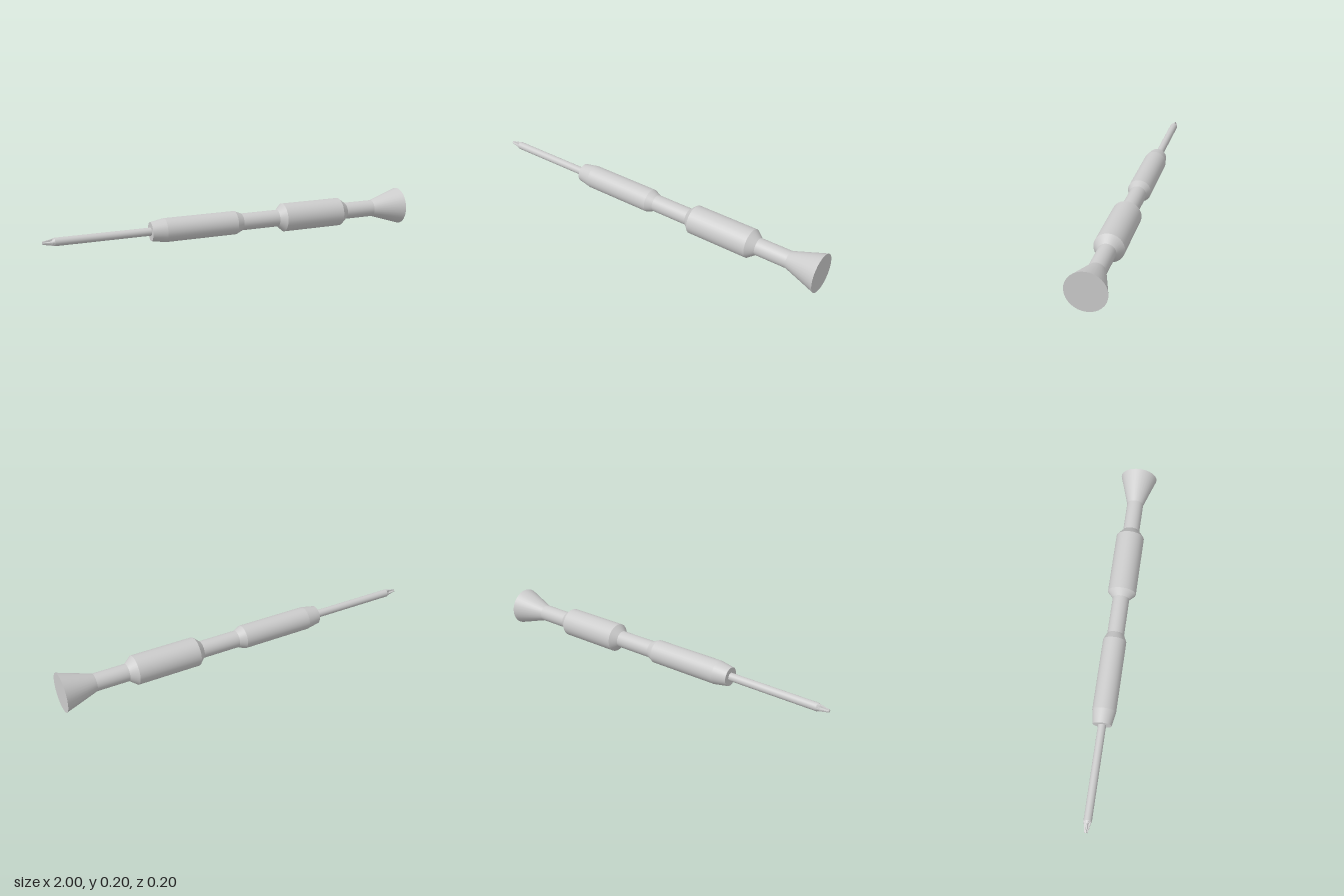
import * as THREE from 'three';
import { mergeGeometries } from 'three/addons/utils/BufferGeometryUtils.js';

const SIDES = 32;
const AXIS_HEIGHT = 0.1;
const material = new THREE.MeshStandardMaterial({ color: 0xcccccc });

// Turns [x, radius] points about the tool's axis; each section is its own
// lathe, so it is smooth around and crisp where sections meet.
function turned(name, points) {
  const sections = points.slice(1).map((p, i) => new THREE.LatheGeometry(
    [points[i], p].map(([x, r]) => new THREE.Vector2(r, x)), SIDES));
  const mesh = new THREE.Mesh(mergeGeometries(sections), material);
  mesh.name = name;
  return mesh;
}

// Cross tip: a tapered cone with four V-shaped flutes cut between the wings.
function crossTip() {
  const rings = [[-1, 0, 0], [-1, 0.008, 0.5], [-0.96, 0.0165, 0.55], [-0.94, 0.021, 0]];
  const lathe = new THREE.LatheGeometry(
    rings.map(([x, r]) => new THREE.Vector2(r, x)), SIDES);
  const pos = lathe.attributes.position;
  for (let i = 0; i < pos.count; i++) {
    const depth = rings[i % rings.length][2];
    const angle = Math.atan2(pos.getZ(i), pos.getX(i));
    const flute = Math.max(0, Math.abs(Math.sin(2 * angle)) - 0.35) / 0.65;
    const k = 1 - depth * flute;
    pos.setX(i, pos.getX(i) * k);
    pos.setZ(i, pos.getZ(i) * k);
  }
  const geometry = lathe.toNonIndexed();
  geometry.computeVertexNormals();
  const mesh = new THREE.Mesh(geometry, material);
  mesh.name = 'crossTip';
  return mesh;
}

export function createModel() {
  const model = new THREE.Group();
  model.name = 'precisionScrewdriver';

  // Everything is turned about y, then laid along x.
  const tool = new THREE.Group();
  tool.name = 'tool';
  tool.rotation.z = -Math.PI / 2;
  tool.position.y = AXIS_HEIGHT;
  model.add(tool);

  tool.add(crossTip());
  tool.add(turned('shaft', [[-0.94, 0.021], [-0.45, 0.021]]));
  tool.add(turned('handle', [
    [-0.455, 0], [-0.455, 0.049], [-0.38, 0.062], [0.005, 0.062], // front grip
    [0.043, 0.045], [0.25, 0.045],                                // waist
    [0.283, 0.076], [0.62, 0.076], [0.66, 0.045],                 // rear grip
    [0.83, 0.045], [1, 0.1], [1, 0],                              // flared end
  ]));
  return model;
}
